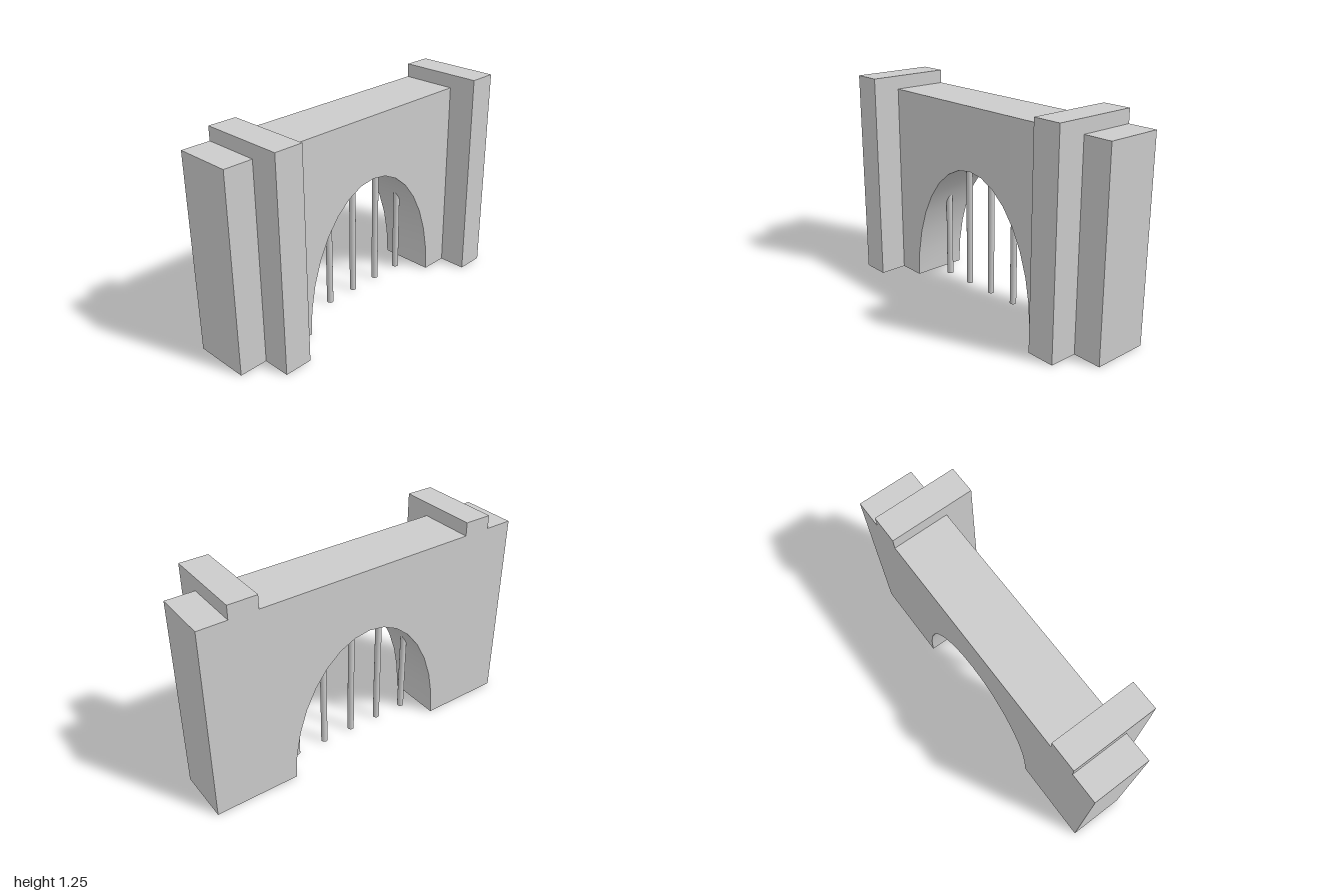
import * as THREE from 'three';
import { toCreasedNormals } from 'three/addons/utils/BufferGeometryUtils.js';

const BACK = -0.25, WALL_FRONT = 0.083, PILLAR_FRONT = 0.25;
const WALL_TOP = 1.17, PILLAR_TOP = 1.25;
const PILLAR_IN = 0.665, PILLAR_OUT = 0.832;
const ARCH_RX = 0.5, ARCH_RY = 0.797;

export function createModel() {
  const model = new THREE.Group();
  model.name = 'archedGate';
  const material = new THREE.MeshStandardMaterial({ color: 0xcccccc });

  const add = (name, geometry, x = 0, y = 0, z = 0) => {
    const mesh = new THREE.Mesh(geometry, material);
    mesh.name = name;
    mesh.position.set(x, y, z);
    model.add(mesh);
  };

  // Wall outline: stepped top at the pillars, elliptical arch cut from below
  const half = [
    [1, 0], [1, WALL_TOP], [PILLAR_OUT, WALL_TOP], [PILLAR_OUT, PILLAR_TOP],
    [PILLAR_IN, PILLAR_TOP], [PILLAR_IN, WALL_TOP],
  ];
  const outline = [...half, ...half.map(([x, y]) => [-x, y]).reverse()];
  const segments = 16;
  for (let i = 0; i <= segments; i++) {
    const a = Math.PI * (1 - i / segments);
    outline.push([ARCH_RX * Math.cos(a), ARCH_RY * Math.sin(a)]);
  }
  const shape = new THREE.Shape(outline.map(([x, y]) => new THREE.Vector2(x, y)));
  const wall = new THREE.ExtrudeGeometry(shape, { depth: WALL_FRONT - BACK, bevelEnabled: false });
  add('archedWall', toCreasedNormals(wall, 0.5), 0, 0, BACK);

  // Pillars standing proud of the wall front
  const depth = PILLAR_FRONT - WALL_FRONT;
  for (const side of [-1, 1]) {
    add(side > 0 ? 'leftPillar' : 'rightPillar',
      new THREE.BoxGeometry(PILLAR_OUT - PILLAR_IN, PILLAR_TOP, depth),
      side * (PILLAR_IN + PILLAR_OUT) / 2, PILLAR_TOP / 2, WALL_FRONT + depth / 2);
  }

  // Round bars across the middle of the arch, tops set into the masonry
  const radius = 0.019;
  for (let i = -2; i <= 2; i++) {
    const x = i * 0.195;
    const inner = Math.max(Math.abs(x) - radius, 0) / ARCH_RX;
    const height = ARCH_RY * Math.sqrt(1 - inner * inner) + 0.005;
    add('gateBar', new THREE.CylinderGeometry(radius, radius, height, 16),
      x, height / 2, (BACK + WALL_FRONT) / 2);
  }
  return model;
}
